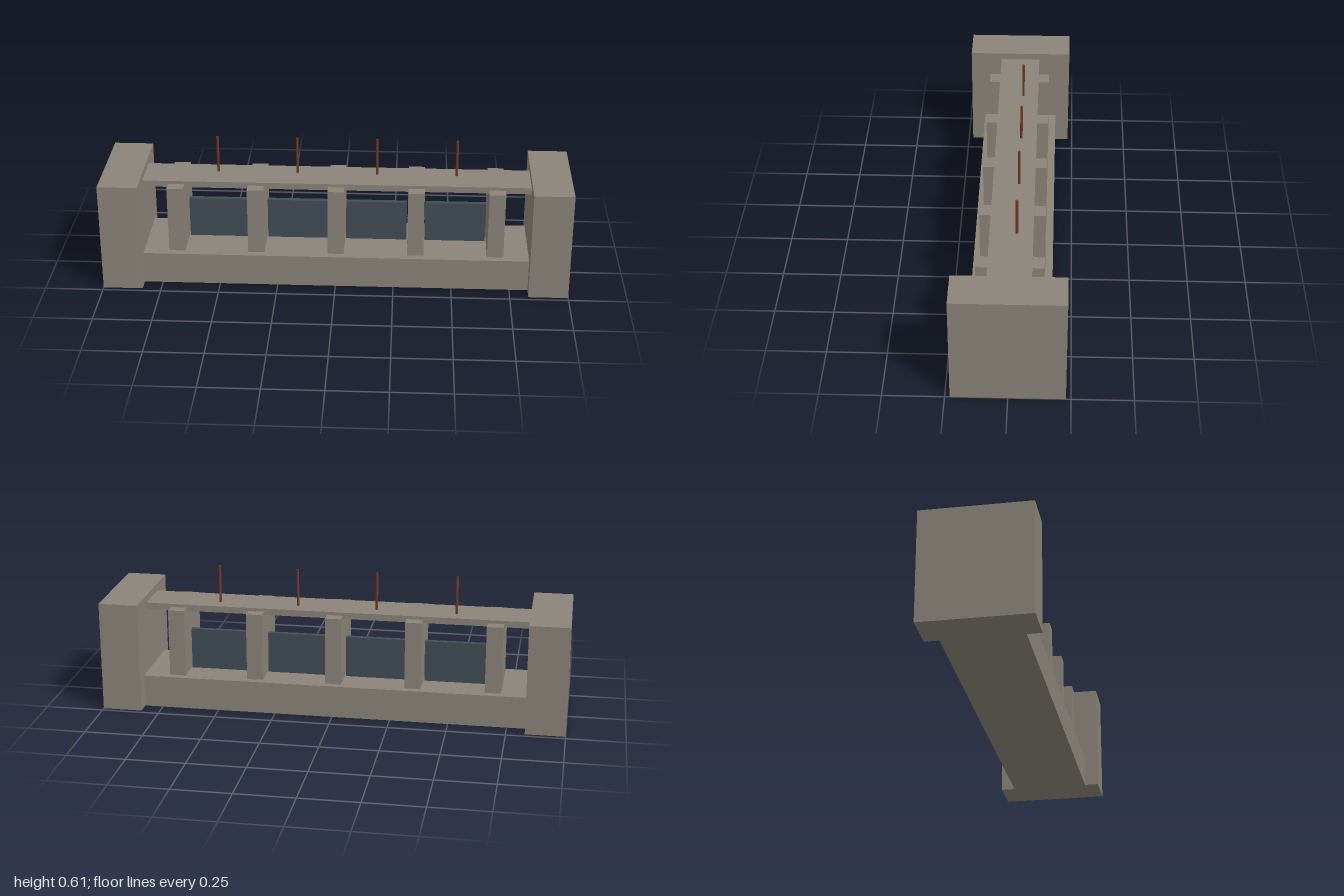
import * as THREE from 'three';

export function createModel() {
  const model = new THREE.Group();
  model.name = 'sluiceWeir';

  const material = (name, color) => {
    const m = new THREE.MeshStandardMaterial({ color });
    m.name = name;
    return m;
  };
  const concrete = material('concrete', 0x8a8479);
  const gateSteel = material('gateSteel', 0x424d55);
  const rust = material('rustBrown', 0x6f3c24);

  const add = (name, geometry, mat, x, y, z) => {
    const mesh = new THREE.Mesh(geometry, mat);
    mesh.name = name;
    mesh.position.set(x, y, z);
    model.add(mesh);
  };
  // Box placed by its bottom and top heights
  const box = (name, mat, width, bottom, top, depth, x = 0, z = 0) =>
    add(name, new THREE.BoxGeometry(width, top - bottom, depth), mat, x, (bottom + top) / 2, z);

  // Sill and end abutments
  box('sill', concrete, 1.66, 0, 0.14, 0.338);
  box('leftAbutment', concrete, 0.17, 0, 0.48, 0.46, 0.915);
  box('rightAbutment', concrete, 0.17, 0, 0.48, 0.46, -0.915);

  // Service deck across the piers
  box('deck', concrete, 1.66, 0.421, 0.449, 0.178);

  // Five evenly spaced piers
  const bay = 0.343;
  for (let i = -2; i <= 2; i++) {
    box('pier', concrete, 0.07, 0.14, 0.435, 0.274, i * bay);
  }

  // A gate in every bay, with its lifting rod above the deck
  const rod = new THREE.CylinderGeometry(0.0055, 0.0055, 0.165, 8);
  for (let i = 0; i < 4; i++) {
    const x = (i - 1.5) * bay;
    box('gate', gateSteel, 0.264, 0.14, 0.32, 0.022, x, -0.022);
    add('liftingRod', rod, rust, x, 0.53, -0.022);
  }

  return model;
}
